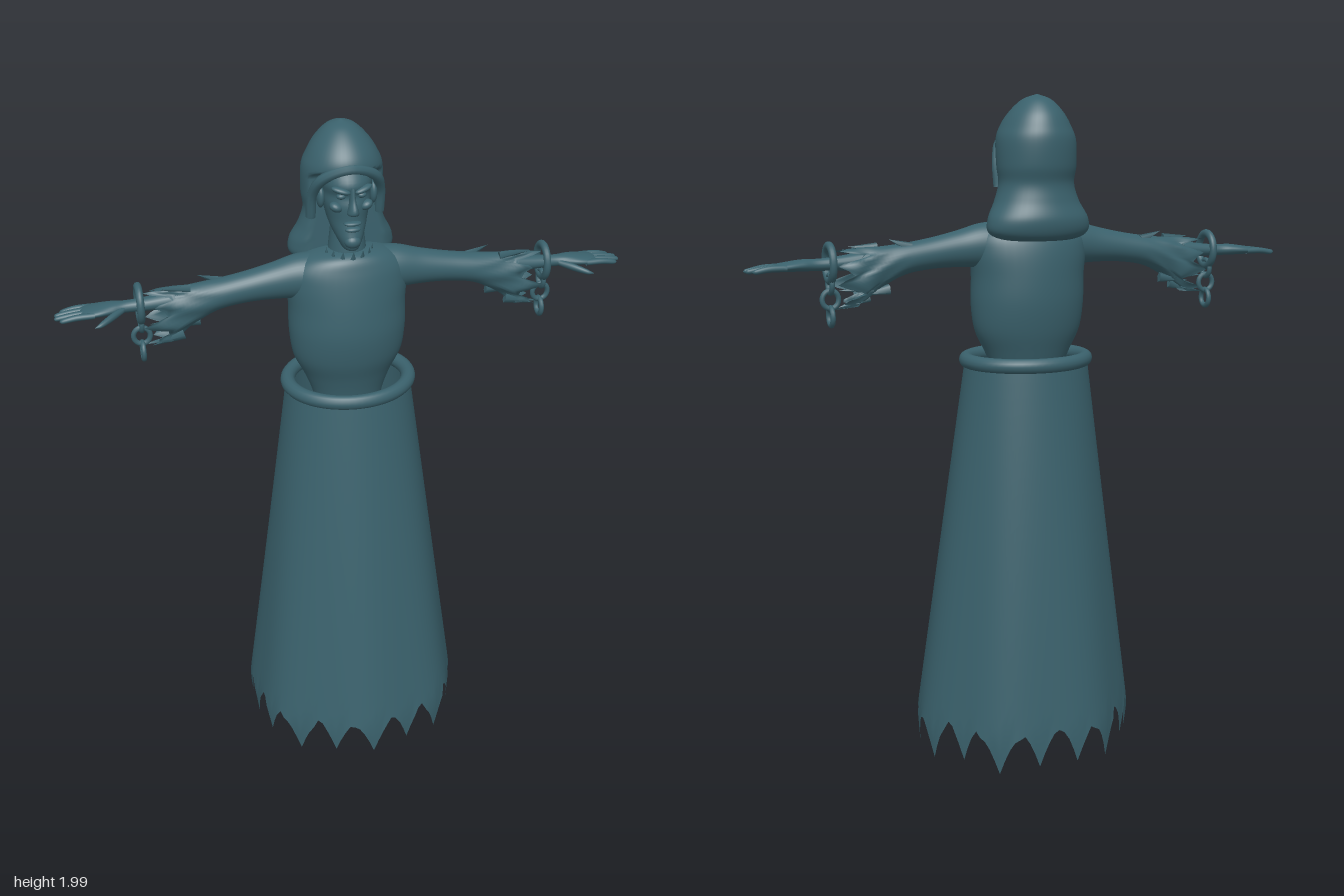
import * as THREE from 'three';

const cloth = new THREE.MeshStandardMaterial({ color: 0x3a616c, side: THREE.DoubleSide });
cloth.name = 'dusty teal';

function part(parent, name, geo, pos = [0, 0, 0], scale = [1, 1, 1], rot = [0, 0, 0]) {
  const m = new THREE.Mesh(geo, cloth);
  m.name = name;
  m.position.set(...pos);
  m.scale.set(...scale);
  m.rotation.set(...rot);
  parent.add(m);
  return m;
}

// Smooth loft through elliptical rings [y, centreX, radiusX, centreZ, radiusZ], bottom to top
function loft(rings, segs = 32, rows = 40, warp) {
  const a = new THREE.CatmullRomCurve3(rings.map(r => new THREE.Vector3(r[0], r[1], r[2])), false, 'catmullrom', 0.5);
  const b = new THREE.CatmullRomCurve3(rings.map(r => new THREE.Vector3(r[3], r[4], 0)), false, 'catmullrom', 0.5);
  const pos = [], idx = [];
  for (let i = 0; i <= rows; i++) {
    const t = i / rows, p = a.getPoint(t), q = b.getPoint(t);
    for (let j = 0; j < segs; j++) {
      const ang = j / segs * Math.PI * 2;
      const v = new THREE.Vector3(p.y + p.z * Math.sin(ang), p.x, q.x + q.y * Math.cos(ang));
      if (warp) warp(v, ang, t);
      pos.push(v.x, v.y, v.z);
      if (i < rows) {
        const k = i * segs, n = (j + 1) % segs;
        idx.push(k + j, k + n, k + segs + n, k + j, k + segs + n, k + segs + j);
      }
    }
  }
  const g = new THREE.BufferGeometry();
  g.setAttribute('position', new THREE.Float32BufferAttribute(pos, 3));
  g.setIndex(idx);
  g.computeVertexNormals();
  return g;
}

// Rings given by front and back z instead of centre and radius
const fb = rows => rows.map(([y, rx, f, b]) => [y, 0, rx, (f + b) / 2, (f - b) / 2]);
// Rings along x: [x, centreY, halfHeight, centreZ, halfDepth]
const along = (rows, segs, n, warp) =>
  loft(rows.map(([x, cy, h, cz, d]) => [x, -cy, h, cz, d]), segs, n, warp).rotateZ(Math.PI / 2).scale(1, -1, 1).rotateX(0);

const tube = (pts, r, n = 24) =>
  new THREE.TubeGeometry(new THREE.CatmullRomCurve3(pts.map(p => new THREE.Vector3(...p))), n, r, 8);
const ball = new THREE.SphereGeometry(1, 20, 14);

// Loft along x without mirroring surprises: local y becomes x, local x becomes -y
function limb(rows, segs, n, warp) {
  return loft(rows.map(([x, cy, h, cz, d]) => [x, -cy, h, cz, d]), segs, n, warp).rotateZ(-Math.PI / 2);
}

function buildSkirt(g) {
  const teeth = 17;
  const geo = loft([[0, 0, 1, 0, 1], [1, 0, 1, 0, 1]], teeth * 8, 24, (v, ang, t) => {
    const k = ang / (Math.PI * 2) * teeth, near = Math.round(k) % teeth;
    const tip = 0.022 + 0.014 * Math.sin(near * 2.4);
    const hem = tip + 0.11 * Math.sin(Math.abs(k - Math.round(k)) * Math.PI);
    const y = hem + (1.23 - hem) * t;
    const s = Math.min(1, (1.23 - y) / 1.12);
    const fold = 1 + 0.018 * s * Math.cos(7 * ang + 0.6) - 0.02 * Math.max(0, 0.11 - y) / 0.1;
    v.set(Math.sin(ang) * (0.187 + 0.15 * s) * fold, y, -0.04 + 0.04 * s + Math.cos(ang) * (0.16 + 0.15 * s) * fold);
  });
  part(g, 'raggedSkirt', geo);
  part(g, 'waistRing', new THREE.TorusGeometry(0.182, 0.022, 14, 64).rotateX(Math.PI / 2), [0, 1.228, -0.038], [1, 1, 0.87]);
}

function buildTorso(g) {
  part(g, 'torso', loft(fb([
    [1.05, 0.002, -0.04, -0.05], [1.08, 0.09, 0.02, -0.11], [1.18, 0.105, 0.03, -0.12], [1.25, 0.13, 0.045, -0.14],
    [1.32, 0.163, 0.066, -0.16], [1.4, 0.174, 0.076, -0.172], [1.48, 0.174, 0.07, -0.172], [1.55, 0.18, 0.058, -0.165],
    [1.6, 0.17, 0.045, -0.15], [1.635, 0.12, 0.03, -0.125], [1.65, 0.05, 0, -0.09], [1.652, 0.002, -0.04, -0.05]]), 40, 60));
  part(g, 'neck', new THREE.CylinderGeometry(0.045, 0.06, 0.13, 20), [0, 1.67, -0.05]);
  for (let i = -3; i <= 3; i++) {
    const a = i * 0.42;
    part(g, 'collarTatter', new THREE.ConeGeometry(0.016, 0.05, 5),
      [0.07 * Math.sin(a), 1.64, -0.045 + 0.07 * Math.cos(a)], [1, 1, 0.5], [0.3, a, 0]);
  }
}

function buildHead(g) {
  const head = new THREE.Group();
  head.name = 'head';
  g.add(head);
  part(head, 'face', loft(fb([
    [1.66, 0.002, 0.01, 0], [1.665, 0.022, 0.026, -0.04], [1.69, 0.037, 0.033, -0.08], [1.72, 0.05, 0.026, -0.11],
    [1.75, 0.059, 0.02, -0.13], [1.79, 0.068, 0.02, -0.14], [1.82, 0.07, 0.014, -0.14], [1.85, 0.073, 0.024, -0.14],
    [1.89, 0.07, 0.005, -0.13]]), 32, 36));
  part(head, 'nose', loft(fb([
    [1.768, 0.002, 0.02, 0.01], [1.775, 0.017, 0.046, 0], [1.79, 0.014, 0.05, 0], [1.815, 0.009, 0.036, 0], [1.85, 0.008, 0.028, 0]]), 12, 16));
  part(head, 'upperLip', ball, [0, 1.745, 0.02], [0.026, 0.007, 0.014]);
  part(head, 'lowerLip', ball, [0, 1.728, 0.022], [0.023, 0.008, 0.013]);
  part(head, 'chin', ball, [0, 1.69, 0.018], [0.024, 0.02, 0.02]);
  for (const s of [-1, 1]) {
    part(head, 'brow', ball, [s * 0.032, 1.842, 0.014], [0.028, 0.009, 0.014], [0, s * 0.35, s * 0.25]);
    part(head, 'eye', ball, [s * 0.029, 1.822, 0.004], [0.014, 0.009, 0.012]);
    part(head, 'cheekbone', ball, [s * 0.043, 1.79, 0], [0.02, 0.014, 0.019], [0, 0, s * 0.4]);
    part(head, 'ear', ball, [s * 0.076, 1.805, -0.05], [0.012, 0.032, 0.02]);
  }
  // Hood with a front cut away below the brow
  part(head, 'hood', loft(fb([
    [1.588, 0.002, -0.15, -0.16], [1.59, 0.1, -0.08, -0.2], [1.61, 0.15, -0.04, -0.222], [1.65, 0.152, -0.03, -0.23],
    [1.7, 0.127, -0.02, -0.217], [1.75, 0.112, -0.02, -0.21], [1.8, 0.117, -0.01, -0.222], [1.87, 0.116, 0.004, -0.226],
    [1.91, 0.102, 0.002, -0.217], [1.95, 0.077, -0.026, -0.198], [1.985, 0.041, -0.07, -0.163], [2, 0.001, -0.117, -0.119]]),
  48, 72, v => {
    const open = THREE.MathUtils.smoothstep(1.9 - v.y, 0, 0.04);
    v.z = Math.min(v.z, 0.02 - 0.085 * open);
  }));
  part(head, 'hoodBrim', tube([[-0.1, 1.74, -0.07], [-0.098, 1.81, -0.055], [-0.075, 1.865, -0.022], [0, 1.895, 0],
    [0.075, 1.865, -0.022], [0.098, 1.81, -0.055], [0.1, 1.74, -0.07]], 0.015, 40));
}

function buildArm(side) {
  const arm = new THREE.Group();
  arm.name = side > 0 ? 'leftArm' : 'rightArm';
  arm.scale.x = side;
  const z = -0.05;
  // Sleeve flares downwards into torn edges
  part(arm, 'raggedSleeve', limb([
    [0.08, 1.565, 0.075, z, 0.07], [0.15, 1.57, 0.065, z, 0.058], [0.22, 1.563, 0.053, z, 0.048], [0.3, 1.553, 0.045, z, 0.043],
    [0.38, 1.54, 0.045, z, 0.042], [0.45, 1.52, 0.058, z, 0.041], [0.51, 1.5, 0.076, z, 0.038], [0.55, 1.488, 0.084, z, 0.034]],
  40, 40, (v, ang, t) => {
    const w = Math.max(0, t - 0.55) / 0.45;
    v.y += w * w * (0.03 * Math.sin(ang * 9) + 0.018 * Math.sin(ang * 4 + 1));
    v.z += w * 0.006 * Math.sin(ang * 7 + t * 20);
  }));
  // Loose tatters along the sleeve
  [[0.4, 1.585, 0.05, 1.2], [0.5, 1.575, 0.06, 1.5], [0.48, 1.45, 0.07, 1.1], [0.53, 1.42, 0.07, 1.25], [0.53, 1.46, 0.07, 1.0]]
    .forEach(([x, y, len, tilt], i) => part(arm, 'sleeveTatter', new THREE.ConeGeometry(0.016, len * 1.4, 5),
      [x, y, z + (i % 2 ? 0.016 : -0.016)], [1, 1, 0.7], [0, 0, -tilt - (i > 1 ? 0.6 : 0)]));
  part(arm, 'forearm', limb([[0.3, 1.55, 0.03, z, 0.032], [0.45, 1.542, 0.03, z, 0.032], [0.58, 1.534, 0.02, z, 0.023],
    [0.64, 1.532, 0.017, z, 0.02], [0.68, 1.532, 0.017, z, 0.03], [0.72, 1.53, 0.014, z, 0.038], [0.76, 1.527, 0.01, z, 0.036],
    [0.775, 1.526, 0.001, z, 0.02]], 20, 40));
  for (let i = 0; i < 4; i++) {
    const fz = z - 0.03 + i * 0.02, tip = [0.825, 0.84, 0.842, 0.828][i];
    part(arm, 'finger', limb([[0.73, 1.528, 0.009, fz, 0.011], [0.78, 1.527, 0.009, fz, 0.0105],
      [tip - 0.01, 1.521, 0.007, fz, 0.008], [tip, 1.52, 0.001, fz, 0.001]], 10, 14));
  }
  part(arm, 'thumb', limb([[0.645, 1.53, 0.009, z + 0.01, 0.014], [0.68, 1.525, 0.011, z + 0.042, 0.014],
    [0.715, 1.518, 0.008, z + 0.07, 0.011], [0.735, 1.515, 0.001, z + 0.082, 0.001]], 10, 16));
  // Shackle and hanging chain
  part(arm, 'shackle', new THREE.TorusGeometry(0.045, 0.011, 12, 36).rotateY(Math.PI / 2), [0.602, 1.535, -0.053], [1, 1.1, 1]);
  for (const [y, turn] of [[1.477, 1], [1.433, 0], [1.385, 1]]) {
    part(arm, 'chainLink', new THREE.TorusGeometry(0.024, 0.0075, 10, 24).rotateY(turn * Math.PI / 2), [0.602, y, -0.053], [1, 1.05, 1]);
  }
  return arm;
}

function buildLeg(side) {
  const leg = new THREE.Group();
  leg.name = side > 0 ? 'leftLeg' : 'rightLeg';
  leg.scale.x = side;
  part(leg, 'shin', loft([[0.16, 0.1, 0.028, -0.02, 0.03], [0.4, 0.09, 0.04, -0.04, 0.042],
    [0.7, 0.075, 0.045, -0.04, 0.05], [1.1, 0.06, 0.055, -0.045, 0.06]], 18, 20));
  // Foot hangs with the toes pointing down
  part(leg, 'heel', ball, [0.1, 0.16, -0.025], [0.032, 0.042, 0.036]);
  part(leg, 'foot', ball, [0.11, 0.125, 0.03], [0.034, 0.028, 0.085], [0.55, 0.2, 0]);
  part(leg, 'toes', ball, [0.12, 0.09, 0.085], [0.038, 0.022, 0.04], [0.4, 0.2, 0]);
  return leg;
}

export function createModel() {
  const g = new THREE.Group();
  g.name = 'shackledHoodedFigure';
  buildSkirt(g);
  buildTorso(g);
  buildHead(g);
  for (const s of [-1, 1]) g.add(buildArm(s), buildLeg(s));
  return g;
}
